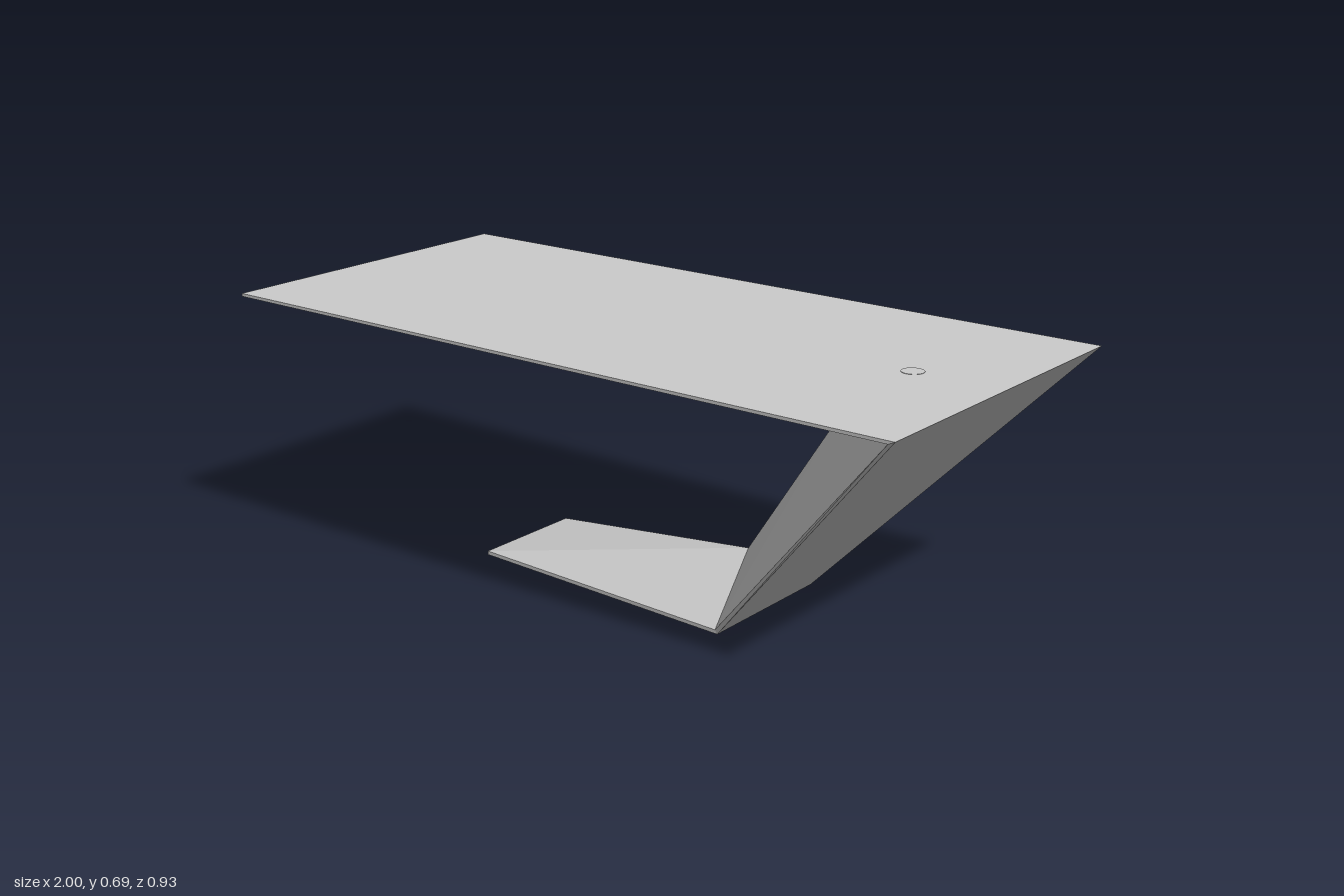
import * as THREE from 'three';

const material = new THREE.MeshStandardMaterial({ color: 0xcccccc, flatShading: true });

// Five-sided cross-section: thin outer plate with a central inner ridge
function section(outer, inner, ridge, halfWidth) {
  return [
    [...outer, halfWidth], [...inner, halfWidth], [...ridge, 0],
    [...inner, -halfWidth], [...outer, -halfWidth],
  ];
}

// Skin between two sections; flip picks the diagonal that folds towards the far end's ridge
function facetedLimb(name, a, b, { flip = false, capA = false, capB = false }) {
  const positions = [];
  const tri = (...corners) => corners.forEach((c) => positions.push(...c));
  for (let j = 0; j < 5; j++) {
    const k = (j + 1) % 5;
    const otherDiagonal = (j === 2) !== flip;
    if (otherDiagonal) {
      tri(a[j], b[j], a[k]);
      tri(b[j], b[k], a[k]);
    } else {
      tri(a[j], b[j], b[k]);
      tri(a[j], b[k], a[k]);
    }
  }
  for (let j = 1; j < 4; j++) {
    if (capA) tri(a[0], a[j], a[j + 1]);
    if (capB) tri(b[0], b[j + 1], b[j]);
  }
  const geometry = new THREE.BufferGeometry();
  geometry.setAttribute('position', new THREE.Float32BufferAttribute(positions, 3));
  geometry.computeVertexNormals();
  const mesh = new THREE.Mesh(geometry, material);
  mesh.name = name;
  return mesh;
}

export function createModel() {
  const group = new THREE.Group();
  group.name = 'cantileverDesk';

  // Sections along the folded path, from the foot tip up to the desktop tip
  const footTip = section([-0.43, 0], [-0.43, 0.01], [-0.43, 0.01], 0.16);
  const heel = section([0.365, 0], [0.358, 0.01], [0.31, 0.15], 0.202);
  const shoulder = section([1, 0.69], [0.983, 0.682], [0.55, 0.52], 0.465);
  const desktopTip = section([-1, 0.69], [-1, 0.682], [-1, 0.682], 0.465);

  group.add(
    facetedLimb('foot', footTip, heel, { capA: true }),
    facetedLimb('column', heel, shoulder, {}),
    facetedLimb('desktop', shoulder, desktopTip, { flip: true, capB: true }),
  );

  // Flush cable cap in the desktop
  const cap = new THREE.Mesh(new THREE.CylinderGeometry(0.028, 0.028, 0.006, 32), material);
  cap.name = 'cableCap';
  cap.position.set(0.76, 0.688, 0);
  group.add(cap);

  return group;
}
